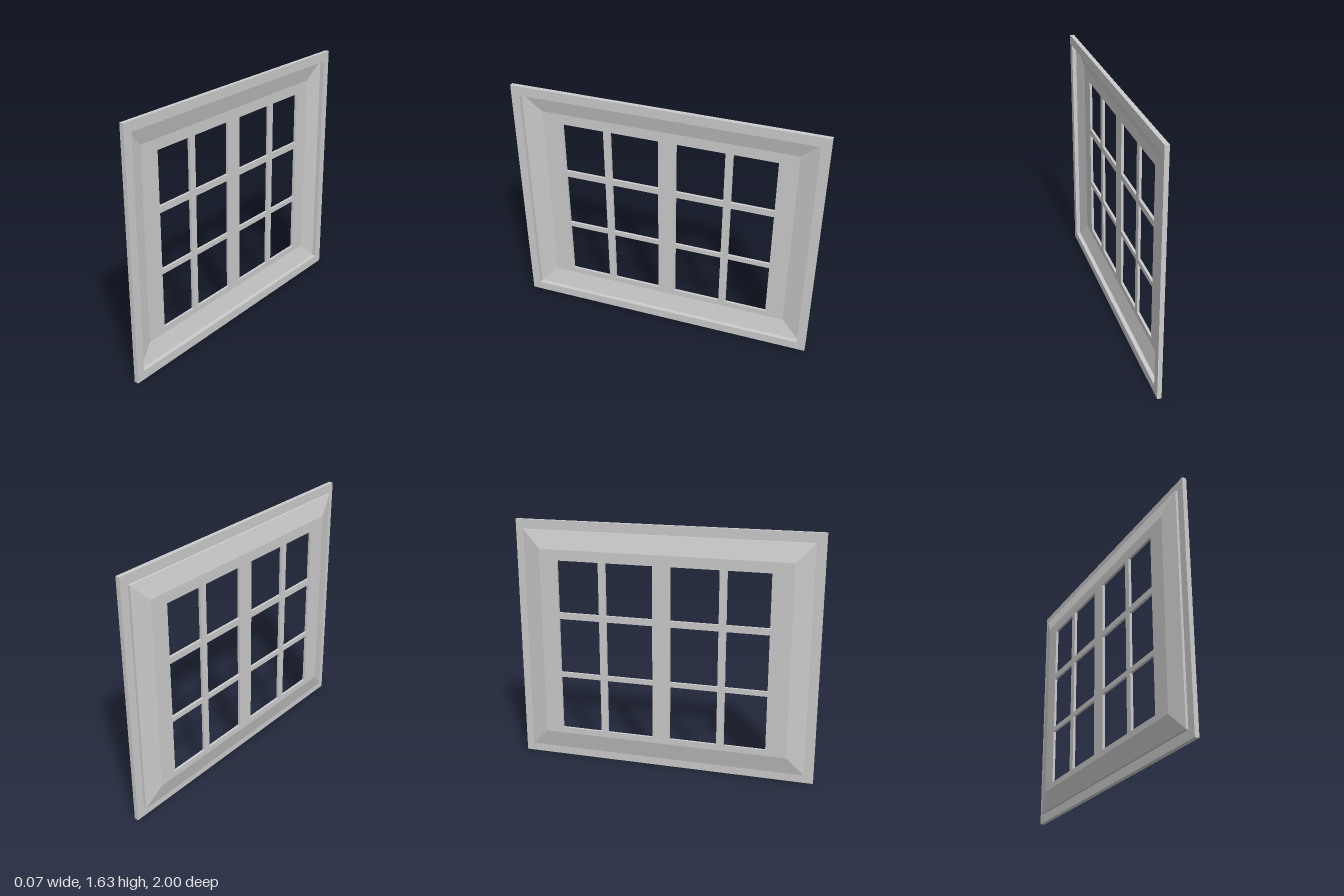
import * as THREE from 'three';

const material = new THREE.MeshStandardMaterial({ color: 0xcccccc, flatShading: true });

// Corners of a rectangle, counter-clockwise
const corners = (u0, v0, u1, v1) => [[u0, v0], [u1, v0], [u1, v1], [u0, v1]]
  .map(([u, v]) => new THREE.Vector2(u, v));

// Flat plate with rectangular openings, from depth d0 to d1
function plate(name, outline, openings, d0, d1) {
  const shape = new THREE.Shape(outline);
  for (const o of openings) shape.holes.push(new THREE.Path(o));
  const geometry = new THREE.ExtrudeGeometry(shape, { depth: d1 - d0, bevelEnabled: false });
  geometry.translate(0, 0, d0);
  const mesh = new THREE.Mesh(geometry, material);
  mesh.name = name;
  return mesh;
}

// Sloped rim: a cross-section [blend from inner to outer, depth] swept round a rectangle
function slopedRim(name, inner, outer, section) {
  const point = (k, i) => {
    const [t, d] = section[i];
    const p = inner[k % 4].clone().lerp(outer[k % 4], t);
    return [p.x, p.y, d];
  };
  const positions = [];
  for (let k = 0; k < 4; k++) {
    for (let i = 0; i < section.length - 1; i++) {
      const a = point(k, i), b = point(k + 1, i), c = point(k + 1, i + 1), d = point(k, i + 1);
      positions.push(...a, ...b, ...c, ...a, ...c, ...d);
    }
  }
  const geometry = new THREE.BufferGeometry();
  geometry.setAttribute('position', new THREE.Float32BufferAttribute(positions, 3));
  geometry.computeVertexNormals();
  const mesh = new THREE.Mesh(geometry, material);
  mesh.name = name;
  return mesh;
}

export function createModel() {
  const model = new THREE.Group();
  model.name = 'window';

  const rimOuter = corners(-0.943, 0.06, 0.943, 1.568);
  const rimInner = corners(-0.825, 0.18, 0.825, 1.45);

  // Pane openings, four columns by three rows
  const columns = [[-0.69, -0.415], [-0.367, -0.052], [0.065, 0.377], [0.425, 0.703]];
  const rows = [[0.22, 0.587], [0.62, 0.99], [1.033, 1.38]];
  const panes = columns.flatMap(([u0, u1]) => rows.map(([v0, v1]) => corners(u0, v0, u1, v1)));

  // Parts are laid out facing +z, then turned to face +x
  const parts = new THREE.Group();
  parts.name = 'windowParts';
  parts.add(
    plate('outerFrame', corners(-1, 0, 1, 1.63), [rimOuter], 0.009, 0.037),
    slopedRim('slopedSurround', rimInner, rimOuter,
      [[0, -0.037], [1, -0.006], [1, 0.009], [0, -0.02]]),
    plate('glazingBars', rimInner, panes, -0.037, -0.02),
  );
  parts.rotation.y = Math.PI / 2;
  model.add(parts);
  return model;
}
